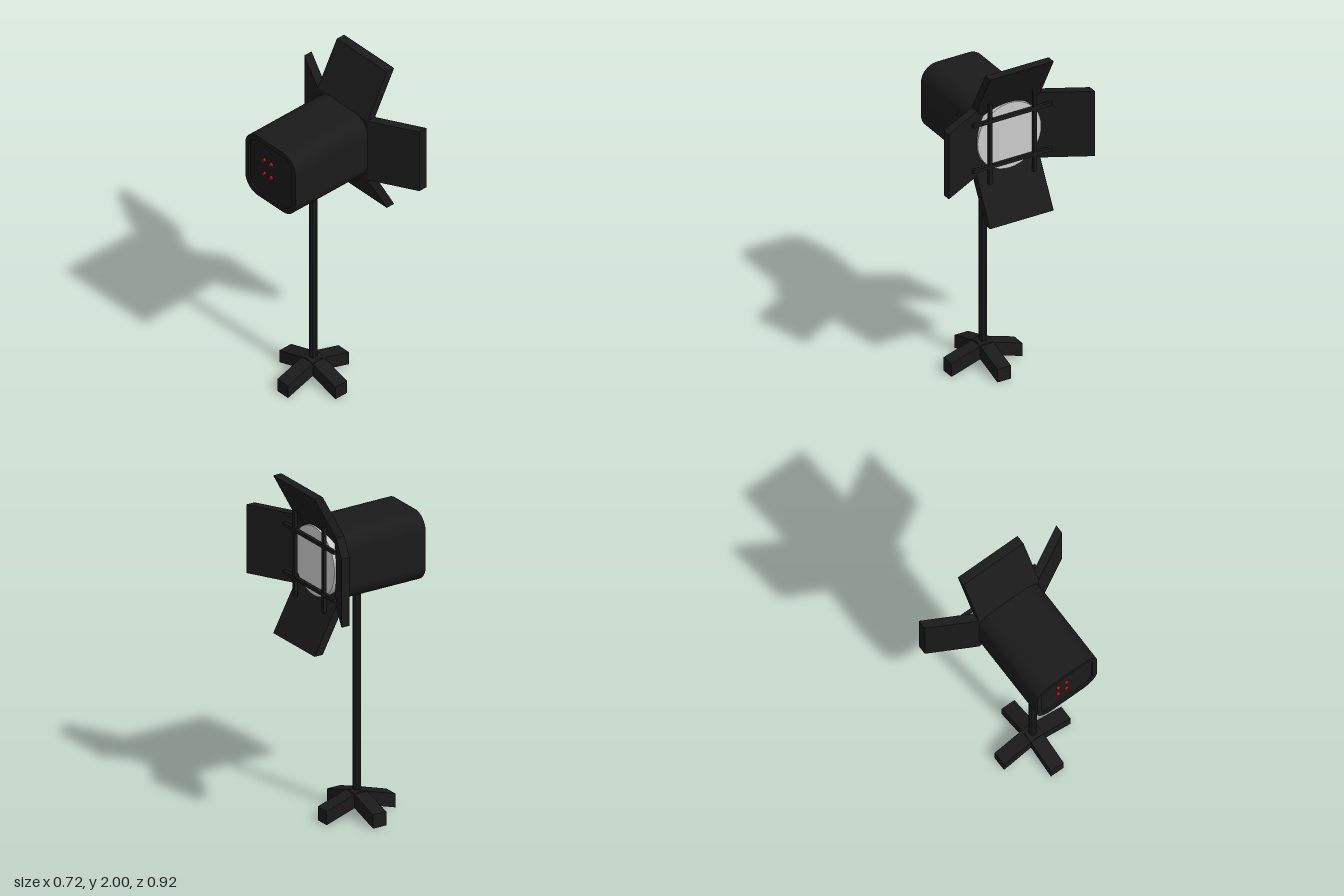
import * as THREE from 'three';
import { toCreasedNormals } from 'three/addons/utils/BufferGeometryUtils.js';

const AXIS_Y = 1.54; // height of the lamp's optical axis, which points along +x
const POST_X = -0.047;

const black = new THREE.MeshStandardMaterial({ color: 0x1a1a1a });
const grey = new THREE.MeshStandardMaterial({ color: 0xcccccc });
const red = new THREE.MeshStandardMaterial({ color: 0xc01515 });

function add(parent, name, geometry, material, x = 0, y = 0, z = 0) {
  const mesh = new THREE.Mesh(geometry, material);
  mesh.name = name;
  mesh.position.set(x, y, z);
  parent.add(mesh);
  return mesh;
}

// Rounded square of half size h and corner radius r
function roundedSquare(h, r) {
  const s = new THREE.Shape();
  s.absarc(h - r, h - r, r, 0, Math.PI / 2);
  s.absarc(r - h, h - r, r, Math.PI / 2, Math.PI);
  s.absarc(r - h, r - h, r, Math.PI, Math.PI * 1.5);
  s.absarc(h - r, r - h, r, Math.PI * 1.5, Math.PI * 2);
  s.closePath();
  return s;
}

// Extrude a cross-section along +x with smooth corners
function extrudeX(shape, depth) {
  const g = new THREE.ExtrudeGeometry(shape, { depth, bevelEnabled: false, curveSegments: 8 });
  g.rotateY(Math.PI / 2);
  return toCreasedNormals(g, 0.6);
}

// Flat profile extruded symmetrically about z = 0
function slab(points, width) {
  const shape = new THREE.Shape(points.map(([x, y]) => new THREE.Vector2(x, y)));
  const g = new THREE.ExtrudeGeometry(shape, { depth: width, bevelEnabled: false });
  return g.translate(0, 0, -width / 2);
}

export function createModel() {
  const model = new THREE.Group();
  model.name = 'studioLight';

  // Lamp head, built around its own axis
  const head = new THREE.Group();
  head.name = 'lampHead';
  head.position.y = AXIS_Y;
  model.add(head);

  // Housing with a raised rim around the back panel
  add(head, 'housing', extrudeX(roundedSquare(0.2, 0.1), 0.517), black, -0.35);
  const rim = roundedSquare(0.2, 0.1);
  rim.holes.push(roundedSquare(0.17, 0.075));
  add(head, 'backRim', extrudeX(rim, 0.01), black, -0.36);

  // Four red indicator lights on the back
  for (const y of [-0.03, 0.06]) {
    for (const z of [-0.055, 0]) {
      const g = new THREE.CylinderGeometry(0.011, 0.011, 0.018, 12).rotateZ(Math.PI / 2);
      add(head, 'indicator', g, red, -0.354, y, z);
    }
  }

  // Lens
  const lens = new THREE.CylinderGeometry(0.2, 0.2, 0.07, 40).rotateZ(Math.PI / 2);
  add(head, 'lens', lens, grey, 0.195);

  // Four barn doors flaring outwards
  const doorGeometry = slab([[0.167, 0.1], [0.36, 0.46], [0.307, 0.46], [0.167, 0.2]], 0.4);
  for (let i = 0; i < 4; i++) {
    add(head, 'barnDoor', doorGeometry, black).rotation.x = (i * Math.PI) / 2;
  }

  // Guard bars in front of the lens
  for (const s of [-1, 1]) {
    add(head, 'verticalBar', new THREE.BoxGeometry(0.02, 0.495, 0.02), black, 0.258, 0, s * 0.14);
    add(head, 'horizontalBar', new THREE.BoxGeometry(0.02, 0.02, 0.495), black, 0.258, s * 0.14, 0);
  }

  // Stand: post and four sloping feet
  const stand = new THREE.Group();
  stand.name = 'stand';
  stand.position.x = POST_X;
  model.add(stand);
  const post = toCreasedNormals(new THREE.CylinderGeometry(0.023, 0.023, 1.29, 8), 0.3);
  add(stand, 'post', post, black, 0, 0.715);
  const footGeometry = slab([[0, 0.07], [0.223, 0], [0.223, 0.08], [0, 0.15]], 0.085);
  for (let i = 0; i < 4; i++) {
    add(stand, 'foot', footGeometry, black).rotation.y = (i * Math.PI) / 2;
  }

  return model;
}
